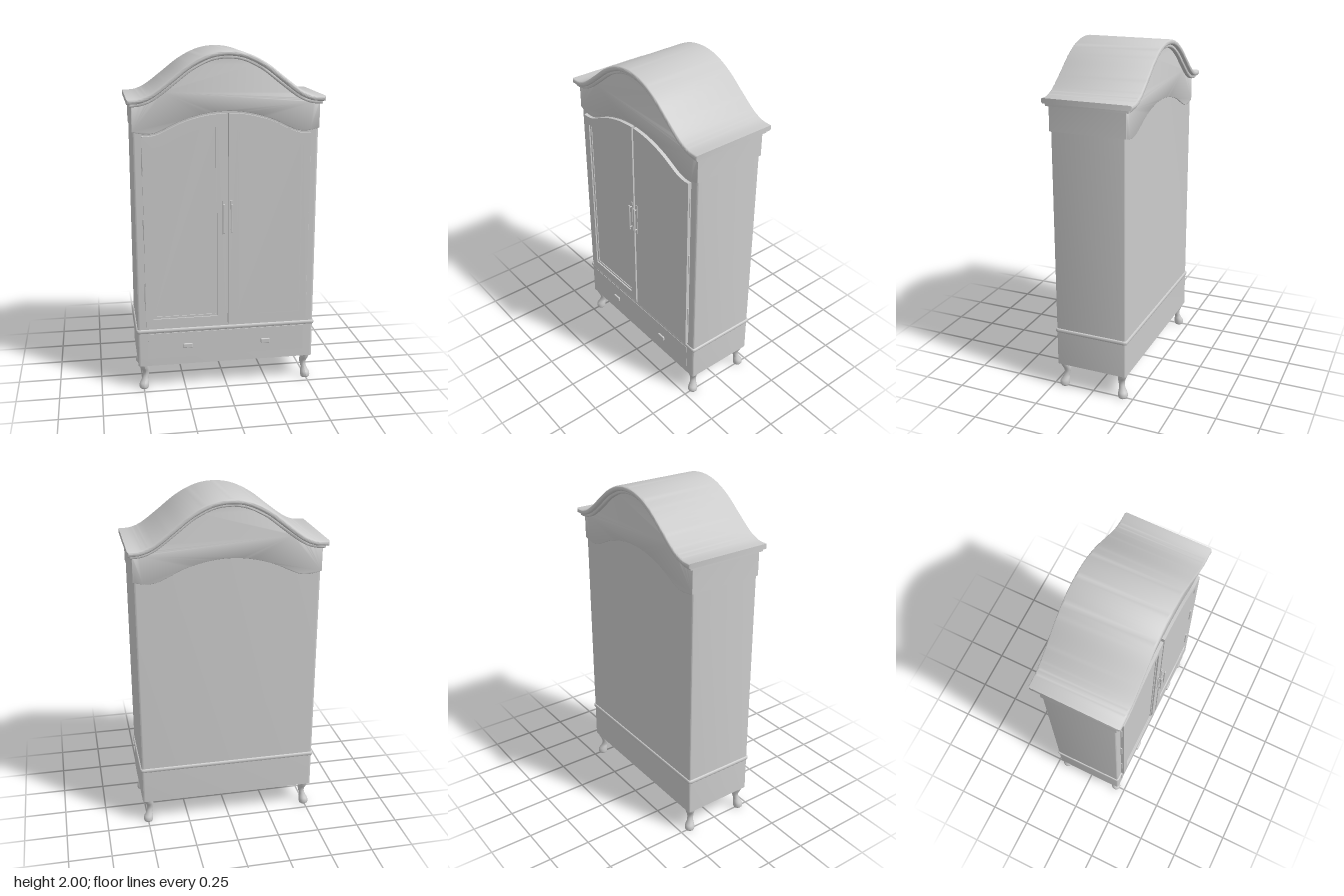
import * as THREE from 'three';
import { toCreasedNormals } from 'three/addons/utils/BufferGeometryUtils.js';
import { RoundedBoxGeometry } from 'three/addons/geometries/RoundedBoxGeometry.js';

const material = new THREE.MeshStandardMaterial({ color: 0xcccccc });
const V = (x, y) => new THREE.Vector2(x, y);

// Smooth line through [x, y] points
const spline = (pts, n) => new THREE.SplineCurve(pts.map(p => V(...p))).getPoints(n);
// Half profile (outer edge to centre) mirrored across x = 0
const mirrored = half => [...half.map(([x, y]) => [-x, y]), ...half.slice(0, -1).reverse()];

// Extrude an outline between z0 and z1, with an optional rounded edge kept inside the outline
function slab(shape, z0, z1, bevel = 0) {
  const geo = new THREE.ExtrudeGeometry(shape, {
    depth: z1 - z0 - 2 * bevel, bevelEnabled: bevel > 0, bevelThickness: bevel,
    bevelSize: bevel, bevelOffset: -bevel, bevelSegments: 4, curveSegments: 6,
  });
  return toCreasedNormals(geo.translate(0, 0, z0 + bevel), 0.6);
}

function roundedRect(w, d, r, Type = THREE.Shape) {
  const s = new Type(), x = w / 2, y = d / 2;
  s.moveTo(-x + r, -y).lineTo(x - r, -y).quadraticCurveTo(x, -y, x, -y + r);
  s.lineTo(x, y - r).quadraticCurveTo(x, y, x - r, y);
  s.lineTo(-x + r, y).quadraticCurveTo(-x, y, -x, y - r);
  s.lineTo(-x, -y + r).quadraticCurveTo(-x, -y, -x + r, -y);
  return s;
}

// Cabriole leg: rings [y, outward shift, radius] with a smooth skin
function legGeometry(sx, sz) {
  const rings = [[0, 0.004, 0.024], [0.008, 0.005, 0.028], [0.028, 0.004, 0.028], [0.045, 0, 0.023],
    [0.062, -0.003, 0.018], [0.085, -0.008, 0.018], [0.108, -0.008, 0.022], [0.13, -0.002, 0.026], [0.155, 0.002, 0.029]];
  const path = new THREE.CatmullRomCurve3(rings.map(r => new THREE.Vector3(...r))).getPoints(24);
  const geo = new THREE.CylinderGeometry(1, 1, 1, 16, 24);
  const p = geo.attributes.position;
  for (let i = 0; i < p.count; i++) {
    const ring = path[Math.round((p.getY(i) + 0.5) * 24)];
    p.setXYZ(i, p.getX(i) * ring.z + sx * ring.y, ring.x, p.getZ(i) * ring.z + sz * ring.y);
  }
  geo.computeVertexNormals();
  return geo;
}

export function createModel() {
  const model = new THREE.Group();
  const add = (name, geo, x = 0, y = 0, z = 0, parent = model) => {
    const mesh = new THREE.Mesh(geo, material);
    mesh.name = name;
    mesh.position.set(x, y, z);
    parent.add(mesh);
    return mesh;
  };
  // Plan outline raised from y0 to y1
  const storey = (name, shape, y0, y1, bevel) =>
    add(name, slab(shape, y0, y1, bevel).rotateX(-Math.PI / 2));

  // Carcass, waist moulding and open-bottomed plinth
  storey('carcass', roundedRect(1.06, 0.434, 0.014), 0.37, 1.69);
  storey('waistMoulding', roundedRect(1.076, 0.45, 0.02), 0.36, 0.385, 0.009);
  const plinth = roundedRect(1.06, 0.434, 0.014);
  plinth.holes.push(roundedRect(1.03, 0.404, 0.008, THREE.Path));
  storey('plinth', plinth, 0.152, 0.365);

  // Arched crown line, offset inward to make each layer
  const crown = new THREE.SplineCurve(mirrored([[0.559, 1.744], [0.5, 1.746], [0.45, 1.762], [0.4, 1.792],
    [0.32, 1.853], [0.22, 1.929], [0.11, 1.983], [0, 2]]).map(p => V(...p)));
  const crownLine = (d, xMax) => {
    const pts = [];
    for (let i = 0; i <= 72; i++) {
      const t = crown.getTangent(i / 72);
      const q = crown.getPoint(i / 72).add(V(t.y * d, -t.x * d));
      if (Math.abs(q.x) < xMax - 0.006) pts.push(q);
    }
    const y = pts[0].y;
    return [V(-xMax, y), ...pts, V(xMax, y)];
  };
  const band = (d0, d1, xMax) => new THREE.Shape([...crownLine(d0, xMax), ...crownLine(d1, xMax).reverse()]);
  add('cornice', slab(band(0, 0.029, 0.559), -0.263, 0.256, 0.013));
  add('corniceMoulding', slab(band(0.024, 0.045, 0.545), -0.244, 0.24, 0.006));

  // Frieze with a serpentine lower edge
  const archPts = [[0.534, 1.56], [0.49, 1.55], [0.44, 1.546], [0.38, 1.56], [0.25, 1.62], [0.12, 1.655], [0, 1.666]];
  const friezeBottom = spline(mirrored(archPts), 60);
  add('frieze', slab(new THREE.Shape([...crownLine(0.037, 0.534), ...friezeBottom.reverse()]), -0.223, 0.223, 0.003));

  for (const s of [-1, 1]) {
    // Door: frame around a recessed panel with an inner bead
    const door = new THREE.Group();
    door.name = s > 0 ? 'leftDoor' : 'rightDoor';
    model.add(door);
    const outline = (x0, x1, y0, top) => [V(s * x1, y0), V(s * x0, y0), ...spline(top, 24).reverse().map(p => V(s * p.x, p.y))];
    const panelTop = (g) => [[0.437 - g, 1.486 - g], [0.39, 1.489 - g], [0.34, 1.508 - g], [0.25, 1.554 - g], [0.15, 1.583 - g], [0.056 + g, 1.591 - g]];
    const panel = g => outline(0.056 + g, 0.437 - g, 0.455 + g, panelTop(g));
    const frame = new THREE.Shape(outline(0.007, 0.48, 0.402,
      [[0.48, 1.537], [0.44, 1.536], [0.38, 1.55], [0.25, 1.61], [0.12, 1.645], [0.007, 1.656]]));
    frame.holes.push(new THREE.Path(panel(0)));
    add('doorFrame', slab(frame, 0.21, 0.238), 0, 0, 0, door);
    const bead = new THREE.Shape(panel(0));
    bead.holes.push(new THREE.Path(panel(0.012)));
    add('panelBead', slab(bead, 0.21, 0.23), 0, 0, 0, door);
    add('doorPanel', slab(new THREE.Shape(panel(0.006)), 0.21, 0.225), 0, 0, 0, door);

    // Upright pull handle on its back plate
    add('handlePlate', new THREE.BoxGeometry(0.014, 0.2, 0.004), s * 0.023, 1.055, 0.239, door);
    add('handleBar', new RoundedBoxGeometry(0.013, 0.172, 0.008, 2, 0.003), s * 0.023, 1.055, 0.259, door);
    for (const y of [0.985, 1.125])
      add('handlePost', new THREE.CylinderGeometry(0.004, 0.004, 0.022, 10).rotateX(Math.PI / 2), s * 0.023, y, 0.248, door);

    // Hinges on the outer edge
    for (const y of [0.615, 1.0, 1.38])
      add('hinge', new THREE.CylinderGeometry(0.006, 0.006, 0.125, 10), s * 0.479, y, 0.223, door);

    // Drawer pull
    add('drawerPull', new RoundedBoxGeometry(0.055, 0.028, 0.012, 3, 0.005), s * 0.235, 0.274, 0.229);
    add('drawerPullStem', new THREE.CylinderGeometry(0.006, 0.006, 0.02, 10).rotateX(Math.PI / 2), s * 0.235, 0.274, 0.22);

    // Legs
    for (const z of [-1, 1])
      add(z > 0 ? 'frontLeg' : 'backLeg', legGeometry(s, z), s * 0.494, 0, z * 0.183);
  }

  // Drawer front, just proud of the plinth on both faces
  add('drawerFront', new THREE.BoxGeometry(0.94, 0.155, 0.028), 0, 0.278, 0.206);
  return model;
}
